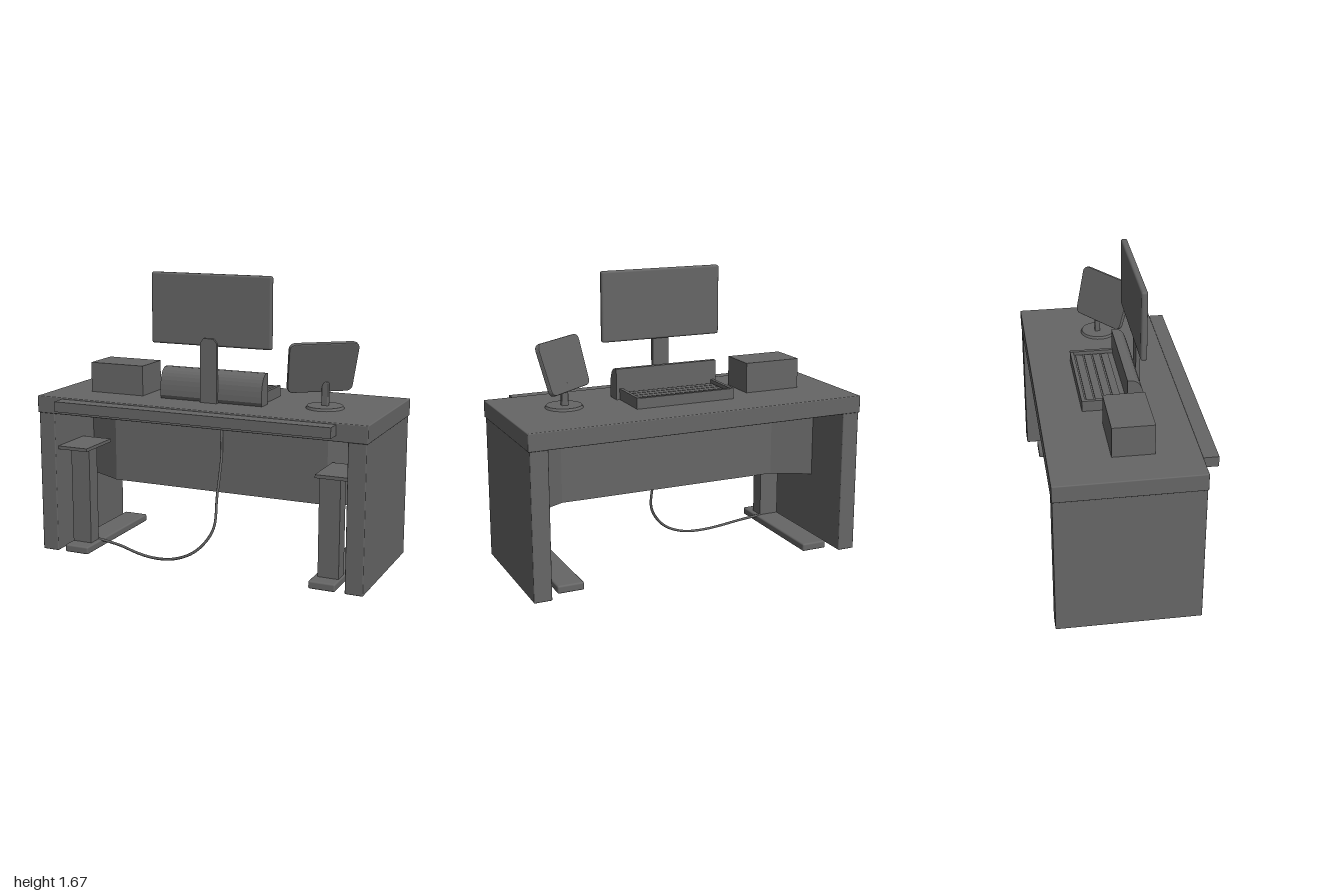
import * as THREE from 'three';
import { RoundedBoxGeometry } from 'three/addons/geometries/RoundedBoxGeometry.js';

export function createModel() {
  const model = new THREE.Group();
  model.name = 'desk';
  const grey = new THREE.MeshStandardMaterial({ color: 0x666666 });
  grey.name = 'grey';

  const add = (name, geometry, parent = model) => {
    const mesh = new THREE.Mesh(geometry, grey);
    mesh.name = name;
    parent.add(mesh);
    return mesh;
  };
  // Box from its limits on each axis, optionally with rounded edges
  const box = (name, [x0, x1], [y0, y1], [z0, z1], r = 0, parent = model) => {
    const size = [x1 - x0, y1 - y0, z1 - z0];
    const g = r ? new RoundedBoxGeometry(...size, 2, r) : new THREE.BoxGeometry(...size);
    const mesh = add(name, g, parent);
    mesh.position.set((x0 + x1) / 2, (y0 + y1) / 2, (z0 + z1) / 2);
    return mesh;
  };
  const shapeOf = (pts) => new THREE.Shape(pts.map(([x, y]) => new THREE.Vector2(x, y)));

  // Desktop and the ledge along its front
  box('desktop', [-1, 1], [0.845, 0.945], [-0.445, 0.36], 0.006);
  box('frontLedge', [-0.835, 0.825], [0.878, 0.937], [0.35, 0.445]);

  // Side panels and lifting legs, mirrored
  for (const s of [-1, 1]) {
    const side = new THREE.Group();
    side.name = s < 0 ? 'rightSide' : 'leftSide';
    model.add(side);
    const span = (a, b) => (s < 0 ? [-b, -a] : [a, b]);
    box('sidePanel', span(0.89, 0.992), [0.015, 0.85], [-0.442, 0.357], 0.006, side);
    box('legPlate', span(0.7, 0.892), [0.628, 0.647], [0.04, 0.325], 0, side);
    box('legColumn', span(0.71, 0.83), [0.05, 0.63], [0.19, 0.28], 0, side);
    box('foot', span(0.685, 0.838), [0.018, 0.063], [-0.38, 0.365], 0.01, side);
  }

  // Modesty panel with both ends bent to the back
  const bend = [[-0.9, -0.12], [-0.67, 0], [0.67, 0], [0.9, -0.12]];
  const outline = [...bend, ...bend.map(([x, z]) => [x, z + 0.03]).reverse()];
  const panel = add('modestyPanel', new THREE.ExtrudeGeometry(
    shapeOf(outline.map(([x, z]) => [x, -z])), { depth: 0.455, bevelEnabled: false }));
  panel.rotation.x = -Math.PI / 2;
  panel.position.y = 0.395;

  // Hanging cable
  const cable = new THREE.CatmullRomCurve3([
    [0.025, 0.77, 0.03], [0.04, 0.64, 0.06], [0.046, 0.4, 0.14], [0.045, 0.23, 0.18],
    [0, 0.14, 0.2], [-0.08, 0.065, 0.22], [-0.2, 0.018, 0.23], [-0.32, 0.009, 0.23],
    [-0.43, 0.02, 0.22], [-0.56, 0.045, 0.2], [-0.71, 0.063, 0.19],
  ].map((p) => new THREE.Vector3(...p)));
  add('cable', new THREE.TubeGeometry(cable, 60, 0.008, 6));

  // Monitor on its stand
  box('monitor', [-0.36, 0.37], [1.265, 1.668], [0.107, 0.143], 0.012);
  const stand = add('monitorStand', new THREE.ExtrudeGeometry(shapeOf([
    [-0.05, 0.945], [0.05, 0.945], [0.05, 1.285], [0.03, 1.31], [-0.03, 1.31], [-0.05, 1.285],
  ]), { depth: 0.025, bevelEnabled: false }));
  stand.position.z = 0.132;

  // Speaker bar: flat back, rounded front
  const profile = new THREE.Shape();
  profile.moveTo(-0.045, 0.945);
  profile.lineTo(-0.045, 1.122);
  profile.lineTo(-0.075, 1.122);
  profile.bezierCurveTo(-0.12, 1.11, -0.14, 1.06, -0.14, 0.965);
  profile.lineTo(-0.13, 0.945);
  const bar = add('speakerBar', new THREE.ExtrudeGeometry(profile,
    { depth: 0.626, bevelEnabled: false, curveSegments: 8 }));
  bar.rotation.y = Math.PI / 2;
  bar.position.x = -0.311;

  // Keyboard: slab, raised rim and rows of keys
  const keyboard = new THREE.Group();
  keyboard.name = 'keyboard';
  model.add(keyboard);
  box('keyboardBase', [-0.3, 0.295], [0.945, 0.985], [-0.205, 0.045], 0, keyboard);
  for (const x of [-0.3, 0.275]) {
    box('keyboardRim', [x, x + 0.02], [0.98, 1.008], [-0.205, 0.045], 0, keyboard);
  }
  box('keyboardRim', [-0.3, 0.295], [0.98, 1.005], [-0.205, -0.185], 0, keyboard);
  for (let row = 0; row < 4; row++) {
    const z = -0.175 + row * 0.05;
    box('keyRow', [-0.27, 0.265], [0.98, 0.992], [z, z + 0.042], 0, keyboard);
  }

  // Storage box
  box('storageBox', [-0.775, -0.435], [0.94, 1.12], [-0.11, 0.12]);

  // Tilted tablet on a round foot
  const tablet = new THREE.Group();
  tablet.name = 'tablet';
  model.add(tablet);
  add('tabletBase', new THREE.CylinderGeometry(0.1, 0.108, 0.016, 32), tablet).position.set(0.642, 0.951, 0.01);
  box('tabletPost', [0.622, 0.66], [0.95, 1.09], [-0.012, 0.02], 0.006, tablet);
  const screen = new THREE.Shape();
  screen.moveTo(-0.15, -0.14);
  screen.lineTo(0.15, -0.14);
  screen.quadraticCurveTo(0.18, -0.14, 0.182, -0.11);
  screen.lineTo(0.192, 0.11);
  screen.quadraticCurveTo(0.193, 0.14, 0.16, 0.143);
  screen.lineTo(-0.16, 0.143);
  screen.quadraticCurveTo(-0.193, 0.14, -0.192, 0.11);
  screen.lineTo(-0.182, -0.11);
  screen.quadraticCurveTo(-0.18, -0.14, -0.15, -0.14);
  const screenGeometry = new THREE.ExtrudeGeometry(screen, {
    depth: 0.016, bevelSize: 0.006, bevelThickness: 0.006, bevelSegments: 2, curveSegments: 5,
  });
  screenGeometry.translate(0, 0, -0.008);
  const across = new THREE.Vector3(0.8, 0, -0.6);
  const normal = new THREE.Vector3(0.573, -0.296, 0.764).projectOnPlane(across).normalize();
  const up = normal.clone().cross(across);
  const tabletScreen = add('tabletScreen', screenGeometry, tablet);
  tabletScreen.quaternion.setFromRotationMatrix(new THREE.Matrix4().makeBasis(across, up, normal));
  tabletScreen.position.set(0.63, 1.175, 0.04);

  return model;
}
